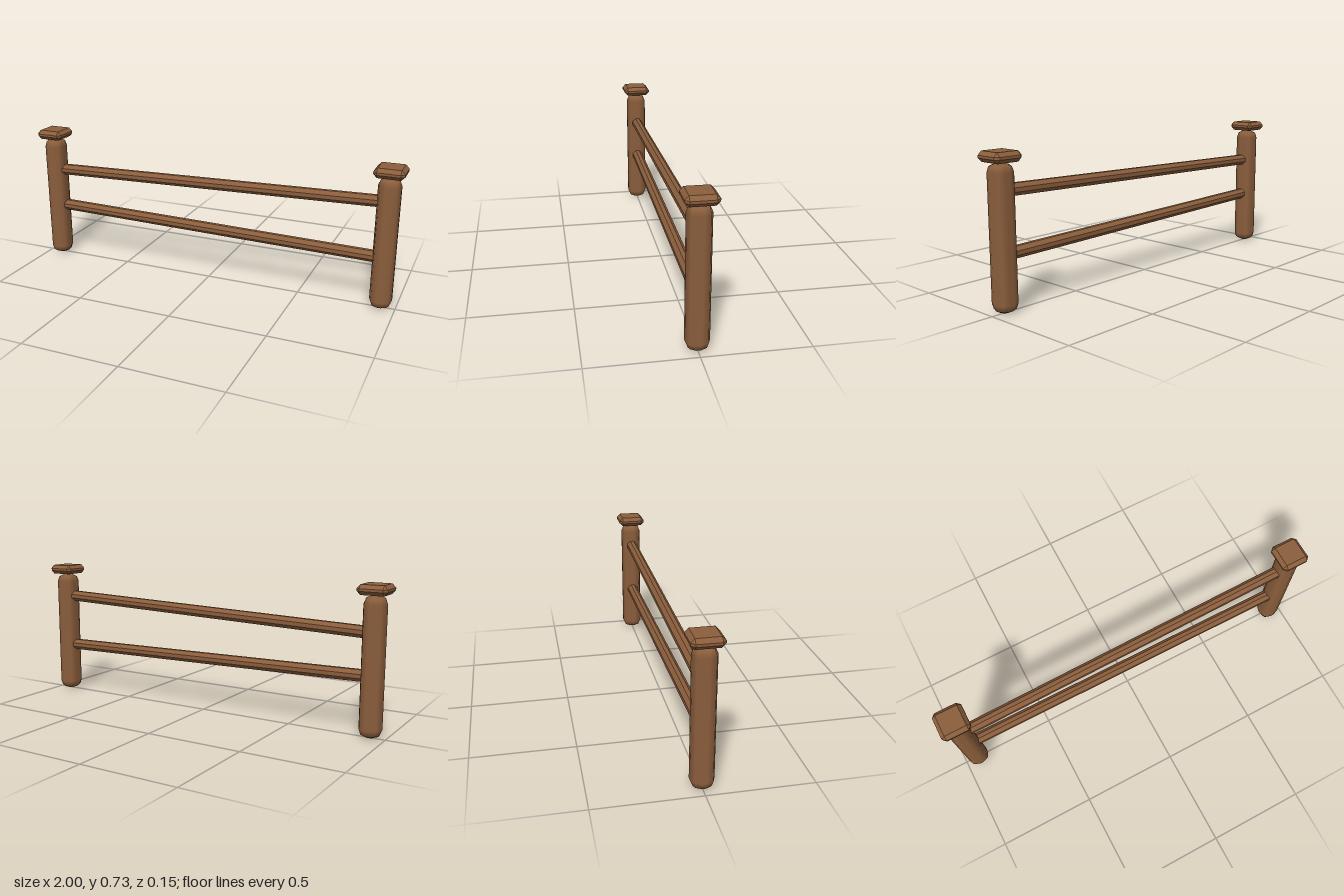
import * as THREE from 'three';
import { RoundedBoxGeometry } from 'three/addons/geometries/RoundedBoxGeometry.js';
import { ConvexGeometry } from 'three/addons/geometries/ConvexGeometry.js';

// Box with straight chamfers on every edge and corner
function chamferBox(w, h, d, c) {
  const points = [];
  for (const sx of [-1, 1]) for (const sy of [-1, 1]) for (const sz of [-1, 1]) {
    const x = w / 2, y = h / 2, z = d / 2;
    points.push(
      new THREE.Vector3(sx * x, sy * (y - c), sz * (z - c)),
      new THREE.Vector3(sx * (x - c), sy * y, sz * (z - c)),
      new THREE.Vector3(sx * (x - c), sy * (y - c), sz * z)
    );
  }
  return new ConvexGeometry(points);
}

export function createModel() {
  const group = new THREE.Group();
  const wood = new THREE.MeshStandardMaterial({ color: 0x8b5e3c });
  wood.name = 'brown wood';

  function add(name, geometry, x, y, tilt = 0) {
    const mesh = new THREE.Mesh(geometry, wood);
    mesh.name = name;
    mesh.position.set(x, y, 0);
    mesh.rotation.z = tilt;
    group.add(mesh);
  }

  // Rounded posts with a chamfered cap on each
  const postX = 0.926;
  const post = new RoundedBoxGeometry(0.11, 0.68, 0.11, 1, 0.045);
  const cap = chamferBox(0.148, 0.049, 0.148, 0.0184);
  for (const [side, x] of [['right', -postX], ['left', postX]]) {
    add(side + 'Post', post, x, 0.34);
    add(side + 'PostCap', cap, x, 0.705);
  }

  // Two slightly tilted rails, ending inside the posts
  const rail = chamferBox(1.85, 0.057, 0.057, 0.0184);
  add('upperRail', rail, 0, 0.528, 0.028);
  add('lowerRail', rail, 0, 0.281, -0.016);

  return group;
}
